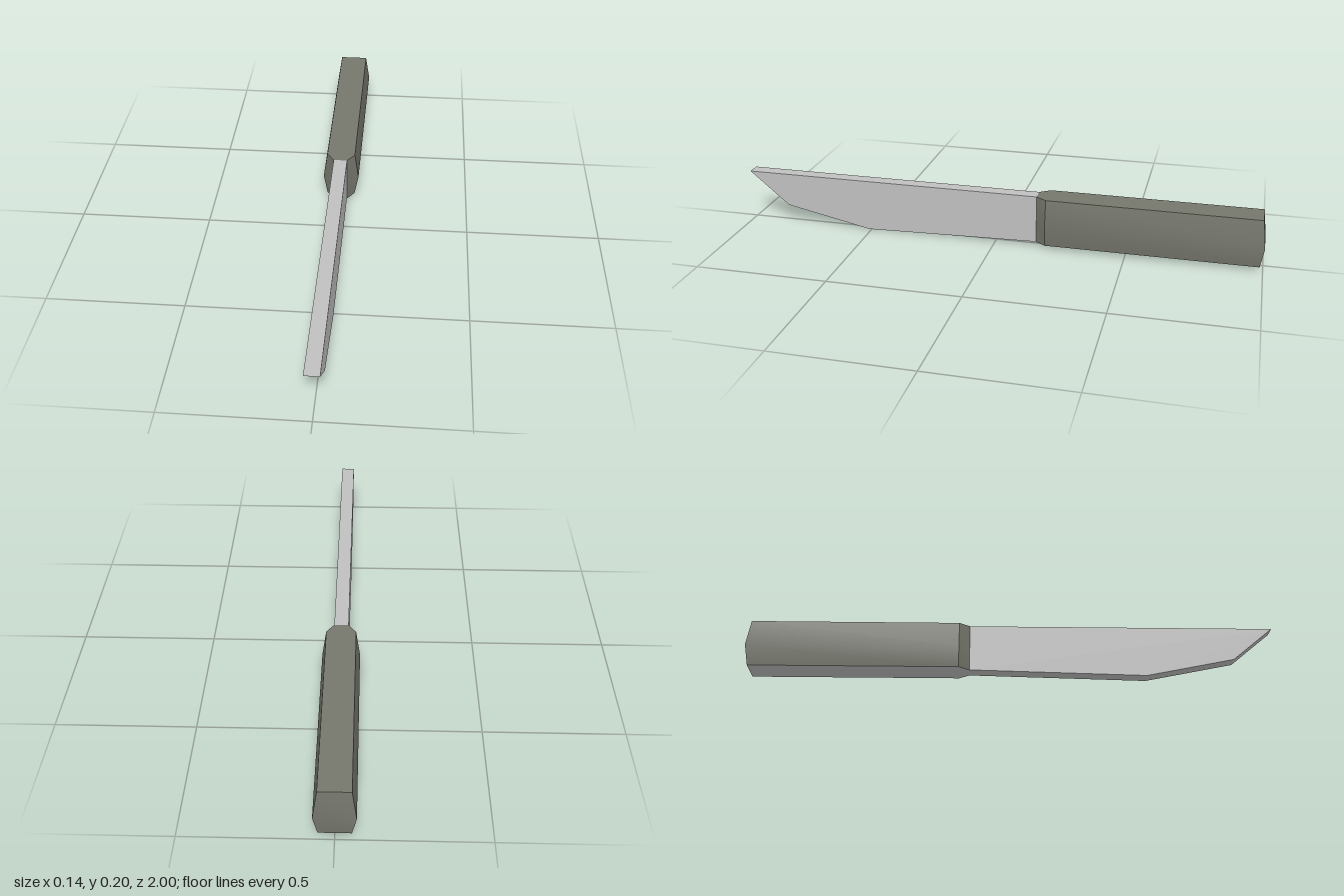
import * as THREE from 'three';
import { toCreasedNormals } from 'three/addons/utils/BufferGeometryUtils.js';

const HALF = 0.026; // half thickness of the blade
const FRONT = -0.16; // where blade and handle meet

// Surface from points and triangles; only the shallow side ridges are smoothed
function surface(points, index) {
  const geometry = new THREE.BufferGeometry();
  geometry.setAttribute('position', new THREE.Float32BufferAttribute(points.flat(), 3));
  geometry.setIndex(index);
  return toCreasedNormals(geometry, 0.4);
}

function addMesh(parent, name, geometry, material) {
  const mesh = new THREE.Mesh(geometry, material);
  mesh.name = name;
  parent.add(mesh);
}

export function createModel() {
  const steel = new THREE.MeshStandardMaterial({ name: 'steel', color: 0xc0c0c0 });
  const grip = new THREE.MeshStandardMaterial({ name: 'grip grey', color: 0x75766c });
  const knife = new THREE.Group();
  knife.name = 'knife';

  // Blade: side profile (z, y) given a constant thickness
  const profile = [[1, 0.2], [FRONT, 0.2], [FRONT, 0.017], [0.51, 0], [0.845, 0.07]];
  const shape = new THREE.Shape(profile.map(([z, y]) => new THREE.Vector2(z, y)));
  const blade = new THREE.ExtrudeGeometry(shape, { depth: HALF * 2, bevelEnabled: false });
  blade.rotateY(-Math.PI / 2).translate(HALF, 0, 0);
  addMesh(knife, 'blade', blade, steel);

  // Handle: three outlines from top to bottom, widest in the middle
  const levels = [[0.2, 0.054, -0.988], [0.095, 0.069, -1], [0.017, 0.054, -0.988]];
  const rings = levels.map(([y, w, back]) => [
    [HALF, y, FRONT], [w, y, -0.2], [w, y, back],
    [-w, y, back], [-w, y, -0.2], [-HALF, y, FRONT],
  ]);
  const n = rings[0].length;

  const walls = [];
  for (let r = 0; r < 2; r++) {
    for (let i = 0; i < n; i++) {
      const a = r * n + i;
      const b = r * n + ((i + 1) % n);
      walls.push(a, a + n, b + n, a, b + n, b);
    }
  }
  const top = [];
  const bottom = [];
  for (let i = 1; i < n - 1; i++) {
    top.push(0, i, i + 1);
    bottom.push(0, i + 1, i);
  }
  const handle = new THREE.Group();
  handle.name = 'handle';
  addMesh(handle, 'handleGrip', surface(rings.flat(), [...walls, ...top]), grip);
  // Bare steel underside of the handle
  addMesh(handle, 'handleUnderside', surface(rings[2], bottom), steel);
  knife.add(handle);

  return knife;
}
